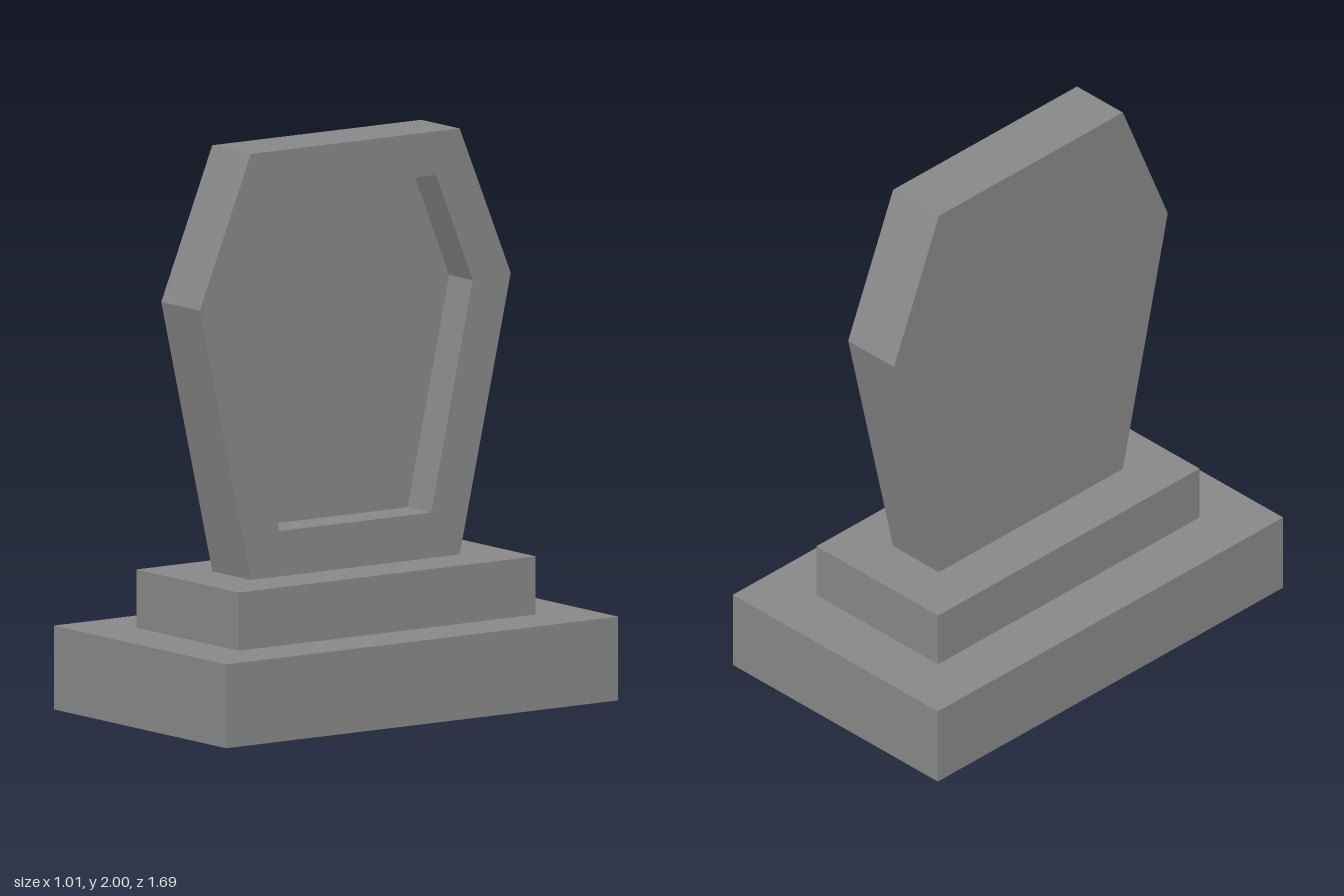
import * as THREE from 'three';

const stone = new THREE.MeshStandardMaterial({ color: 0x888888 });
stone.name = 'grey stone';

// Half outlines (z half-width, y), mirrored into a closed hexagon
const outer = [[0.45, 0.5], [0.67, 1.47], [0.45, 2]];
const inner = [[0.327, 0.66], [0.506, 1.46], [0.348, 1.847]];
const hexagon = (half) => [
  ...half.map(([z, y]) => new THREE.Vector2(z, y)),
  ...[...half].reverse().map(([z, y]) => new THREE.Vector2(-z, y)),
];

function block(name, w, h, d, bottom) {
  const mesh = new THREE.Mesh(new THREE.BoxGeometry(w, h, d), stone);
  mesh.position.y = bottom + h / 2;
  mesh.name = name;
  return mesh;
}

// Upright slab extruded along x, starting at the given x
function slab(name, shape, x, depth) {
  const geo = new THREE.ExtrudeGeometry(shape, { depth, bevelEnabled: false });
  geo.translate(0, 0, x);
  geo.rotateY(Math.PI / 2);
  const mesh = new THREE.Mesh(geo, stone);
  mesh.name = name;
  return mesh;
}

export function createModel() {
  const model = new THREE.Group();
  model.name = 'headstone';

  // Stepped plinth
  model.add(block('base', 1.01, 0.295, 1.69, 0));
  model.add(block('step', 0.6, 0.205, 1.28, 0.295));

  // Tablet frame, with a panel sunk into its +x side
  const frame = new THREE.Shape(hexagon(outer));
  frame.holes.push(new THREE.Path(hexagon(inner)));
  model.add(slab('tabletFrame', frame, -0.113, 0.226));
  model.add(slab('sunkenPanel', new THREE.Shape(hexagon(inner)), -0.113, 0.088));

  return model;
}
